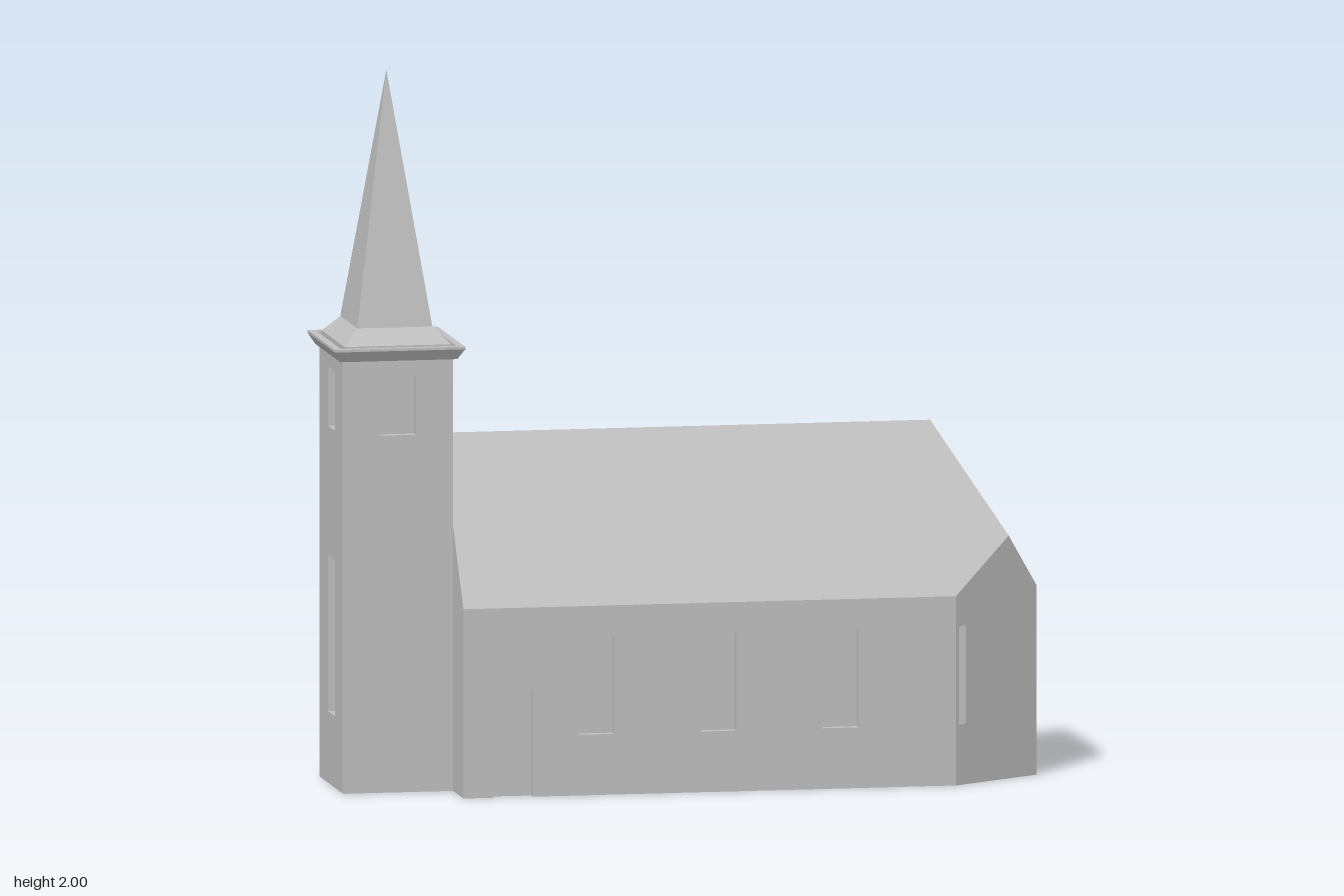
import * as THREE from 'three';
import { mergeGeometries } from 'three/addons/utils/BufferGeometryUtils.js';

const V = (x, y, z) => new THREE.Vector3(x, y, z);

// Flat polygon through 3D points (counter-clockwise from outside), with optional holes
function face(pts, holes = []) {
  const u = pts[1].clone().sub(pts[0]).normalize();
  const n = u.clone().cross(pts[2].clone().sub(pts[1])).normalize();
  const v = n.clone().cross(u);
  const flat = p => {
    const d = p.clone().sub(pts[0]);
    return new THREE.Vector2(d.dot(u), d.dot(v));
  };
  const shape = new THREE.Shape(pts.map(flat));
  holes.forEach(h => shape.holes.push(new THREE.Path(h.map(flat))));
  const m = new THREE.Matrix4().makeBasis(u, v, n).setPosition(pts[0]);
  return new THREE.ShapeGeometry(shape).applyMatrix4(m);
}

// Reveals and back panel of an opening; corners run bottom left, bottom right, top right, top left
function recess(c, depth, openBottom = false) {
  const n = c[1].clone().sub(c[0]).cross(c[2].clone().sub(c[1])).normalize();
  const inner = c.map(p => p.clone().addScaledVector(n, -depth));
  const out = [face(inner)];
  for (let i = openBottom ? 1 : 0; i < 4; i++) {
    const j = (i + 1) % 4;
    out.push(face([c[i], c[j], inner[j], inner[i]]));
  }
  return out;
}

// Mirror point lists to the other long side
const flip = (pts, s) => s > 0 ? pts : pts.map(p => V(p.x, p.y, -p.z)).reverse();
// Mirrored rectangle on a wall of constant z, starting at its own bottom left
function rectZ(x0, x1, y0, y1, z, s) {
  const [a, b] = s > 0 ? [x0, x1] : [x1, x0];
  return [V(a, y0, s * z), V(b, y0, s * z), V(b, y1, s * z), V(a, y1, s * z)];
}
const rectWest = (x, z, y0, y1) => [V(x, y0, -z), V(x, y0, z), V(x, y1, z), V(x, y1, -z)];

// Square-plan skin through stacked rings [halfX, halfZ, y]
function rings(cx, list) {
  const out = [];
  const ring = ([a, b, y]) => [V(cx - a, y, b), V(cx + a, y, b), V(cx + a, y, -b), V(cx - a, y, -b)];
  for (let k = 0; k + 1 < list.length; k++) {
    const lo = ring(list[k]), hi = ring(list[k + 1]);
    for (let i = 0; i < 4; i++) {
      const j = (i + 1) % 4;
      out.push(face(list[k + 1][0] === 0 ? [lo[i], lo[j], hi[i]] : [lo[i], lo[j], hi[j], hi[i]]));
    }
  }
  return out;
}

export function createModel() {
  const group = new THREE.Group();
  const stone = new THREE.MeshStandardMaterial({ color: 0xc0c0c0 });
  stone.name = 'pale grey stone';
  const add = (name, geos) => {
    const mesh = new THREE.Mesh(mergeGeometries(geos), stone);
    mesh.name = name;
    group.add(mesh);
  };

  // Main dimensions
  const W = -0.66, E = 0.73, A = 0.99, Z = 0.33, AZ = 0.16, eave = 0.53, ridge = 0.98;
  const ridgeEnd = 0.72, hipX = 0.9, hipY = 0.68, hipZ = 0.219;
  const D = 0.025, doorX0 = -0.575, doorX1 = -0.465;

  const walls = [], windows = [], door = [], apse = [], roof = [];
  for (const s of [1, -1]) {
    // Long wall with three windows, and the door on the front
    const holes = [-0.285, 0.06, 0.405].map(x => rectZ(x - 0.05, x + 0.05, 0.17, 0.445, Z, s));
    holes.forEach(h => windows.push(...recess(h, D)));
    let outline = [V(W, eave, Z), V(W, 0, Z), V(E, 0, Z), V(E, eave, Z)];
    if (s > 0) {
      outline = [V(W, eave, Z), V(W, 0, Z), V(doorX0, 0, Z), V(doorX0, 0.3, Z),
        V(doorX1, 0.3, Z), V(doorX1, 0, Z), V(E, 0, Z), V(E, eave, Z)];
      door.push(...recess(rectZ(doorX0, doorX1, 0, 0.3, Z, s), D, true));
    }
    walls.push(face(flip(outline, s), holes));

    // Slanted apse wall with a narrow notched window
    const onWall = (x, y) => V(x, y, Z - (x - E) * (Z - AZ) / (A - E));
    const x0 = 0.74, x1 = 0.762, y0 = 0.17, y1 = 0.445;
    const slit = [onWall(x0, y0), onWall(x1, y0), onWall(x1, y1), onWall(x0, y1)];
    const zi = slit[1].z, in0 = V(x0, y0, zi), in1 = V(x0, y1, zi);
    apse.push(face(flip([V(E, 0, Z), V(A, 0, AZ), V(A, eave, AZ), V(hipX, hipY, hipZ), V(E, eave, Z)], s),
      [flip(slit, s)]));
    for (const p of [[in0, slit[1], slit[2], in1], [slit[0], in0, in1, slit[3]],
      [slit[0], slit[1], in0], [slit[3], in1, slit[2]]]) windows.push(face(flip(p, s)));

    // Roof slope, cut back along the apse
    roof.push(face(flip([V(W, eave, Z), V(E, eave, Z), V(hipX, hipY, hipZ),
      V(ridgeEnd, ridge, 0), V(W, ridge, 0)], s)));
  }

  // Gable behind the tower
  walls.push(face([V(W, 0, -Z), V(W, 0, Z), V(W, eave, Z), V(W, ridge, 0), V(W, eave, -Z)]));
  // Apse end wall and hipped roof end
  apse.push(face([V(A, 0, AZ), V(A, 0, -AZ), V(A, eave, -AZ), V(A, eave, AZ)]));
  roof.push(face([V(A, eave, AZ), V(A, eave, -AZ), V(hipX, hipY, -hipZ),
    V(ridgeEnd, ridge, 0), V(hipX, hipY, hipZ)]));
  // Underside, notched at the door
  const floor = face([V(W, 0, -Z), V(E, 0, -Z), V(A, 0, -AZ), V(A, 0, AZ), V(E, 0, Z),
    V(doorX1, 0, Z), V(doorX1, 0, Z - D), V(doorX0, 0, Z - D), V(doorX0, 0, Z), V(W, 0, Z)]);

  add('naveWalls', walls);
  add('apseWalls', apse);
  add('naveRoof', roof);
  add('naveWindows', windows);
  add('doorway', door);
  add('floor', [floor]);

  // Tower shaft with belfry openings on three sides and a tall west window
  const cx = -0.815, hx = 0.155, hz = 0.175, top = 1.21;
  const tower = [], openings = [];
  for (const s of [1, -1]) {
    const h = rectZ(cx - 0.05, cx + 0.05, 1.0, 1.165, hz, s);
    tower.push(face(rectZ(cx - hx, cx + hx, 0, top, hz, s), [h]));
    openings.push(...recess(h, D));
  }
  const west = [rectWest(cx - hx, 0.05, 1.0, 1.165), rectWest(cx - hx, 0.05, 0.2, 0.64)];
  west.forEach(h => openings.push(...recess(h, D)));
  tower.push(face(rectWest(cx - hx, hz, 0, top), west));
  tower.push(face([V(W, 0, hz), V(W, 0, -hz), V(W, top, -hz), V(W, top, hz)]));
  tower.push(face([V(cx - hx, 0, -hz), V(W, 0, -hz), V(W, 0, hz), V(cx - hx, 0, hz)]));
  add('tower', tower);
  add('towerOpenings', openings);

  // Flared cornice with a shallow gutter, then the broached spire
  add('cornice', rings(cx, [[hx, hz, top], [0.165, 0.185, top], [0.184, 0.204, 1.24],
    [0.184, 0.204, 1.247], [0.163, 0.183, 1.247], [0.161, 0.181, 1.225], [0.15, 0.17, 1.225]]));
  add('spire', rings(cx, [[0.15, 0.17, 1.225], [0.15, 0.17, 1.25], [0.106, 0.126, 1.295], [0, 0, 2]]));
  return group;
}
